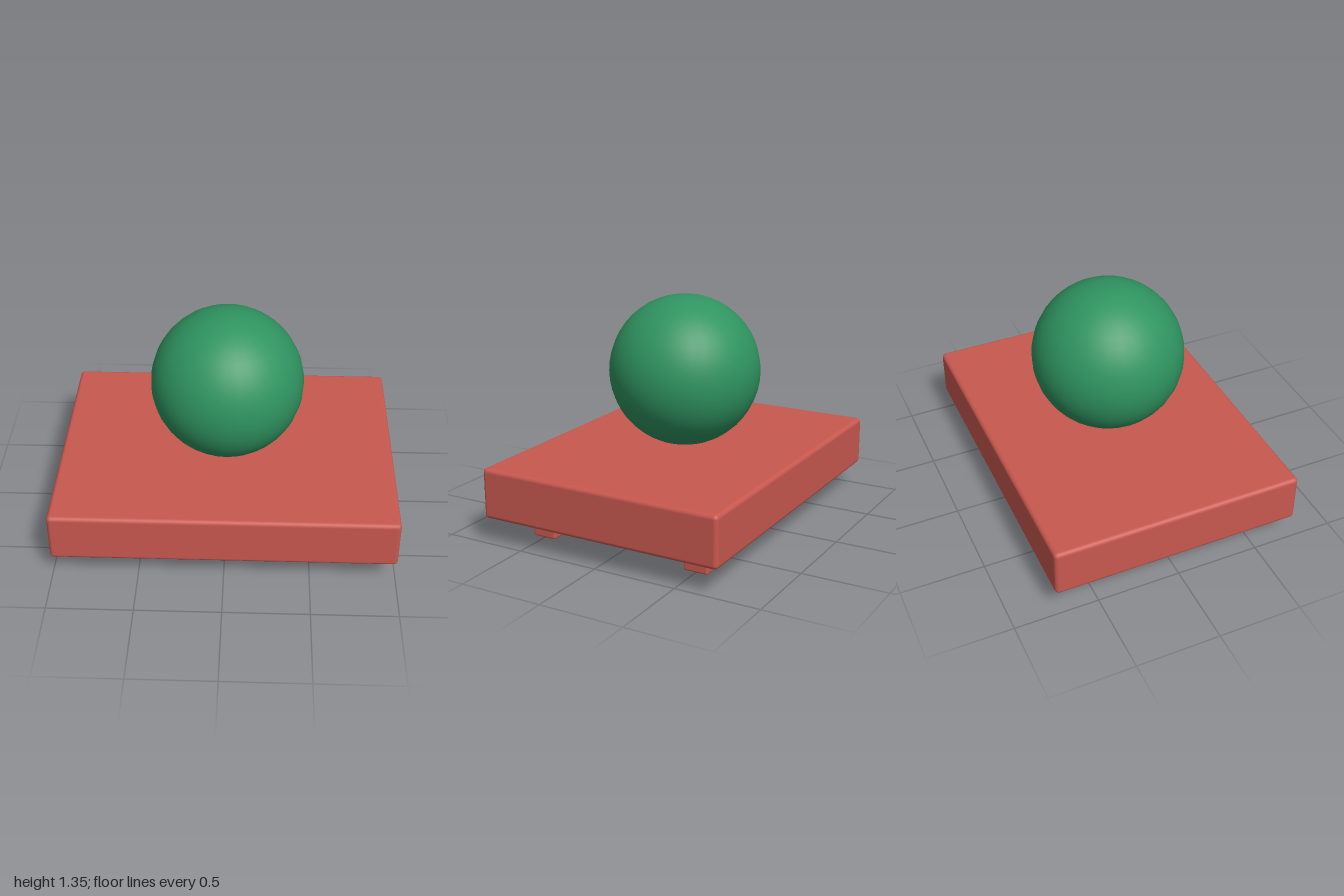
import * as THREE from 'three';
import { RoundedBoxGeometry } from 'three/addons/geometries/RoundedBoxGeometry.js';

export function createModel() {
  const group = new THREE.Group();
  const red = new THREE.MeshStandardMaterial({ name: 'brick red', color: 0xc8584f });
  const green = new THREE.MeshStandardMaterial({ name: 'sea green', color: 0x2f9460 });

  const add = (name, geometry, material, x, y, z) => {
    const mesh = new THREE.Mesh(geometry, material);
    mesh.name = name;
    mesh.position.set(x, y, z);
    group.add(mesh);
  };

  // Thick platform with softened edges
  add('platform', new RoundedBoxGeometry(2, 0.3, 1.5, 3, 0.025), red, 0, 0.3, 0);

  // Four stubby feet
  const footGeometry = new RoundedBoxGeometry(0.15, 0.15, 0.15, 3, 0.012);
  for (const [side, x] of [['left', 0.7], ['right', -0.7]]) {
    for (const [end, z] of [['Front', 0.5], ['Back', -0.5]]) {
      add(`${side}${end}Foot`, footGeometry, red, x, 0.075, z);
    }
  }

  // Ball resting on the platform
  add('ball', new THREE.SphereGeometry(0.45, 32, 24), green, 0, 0.9, 0);

  return group;
}
